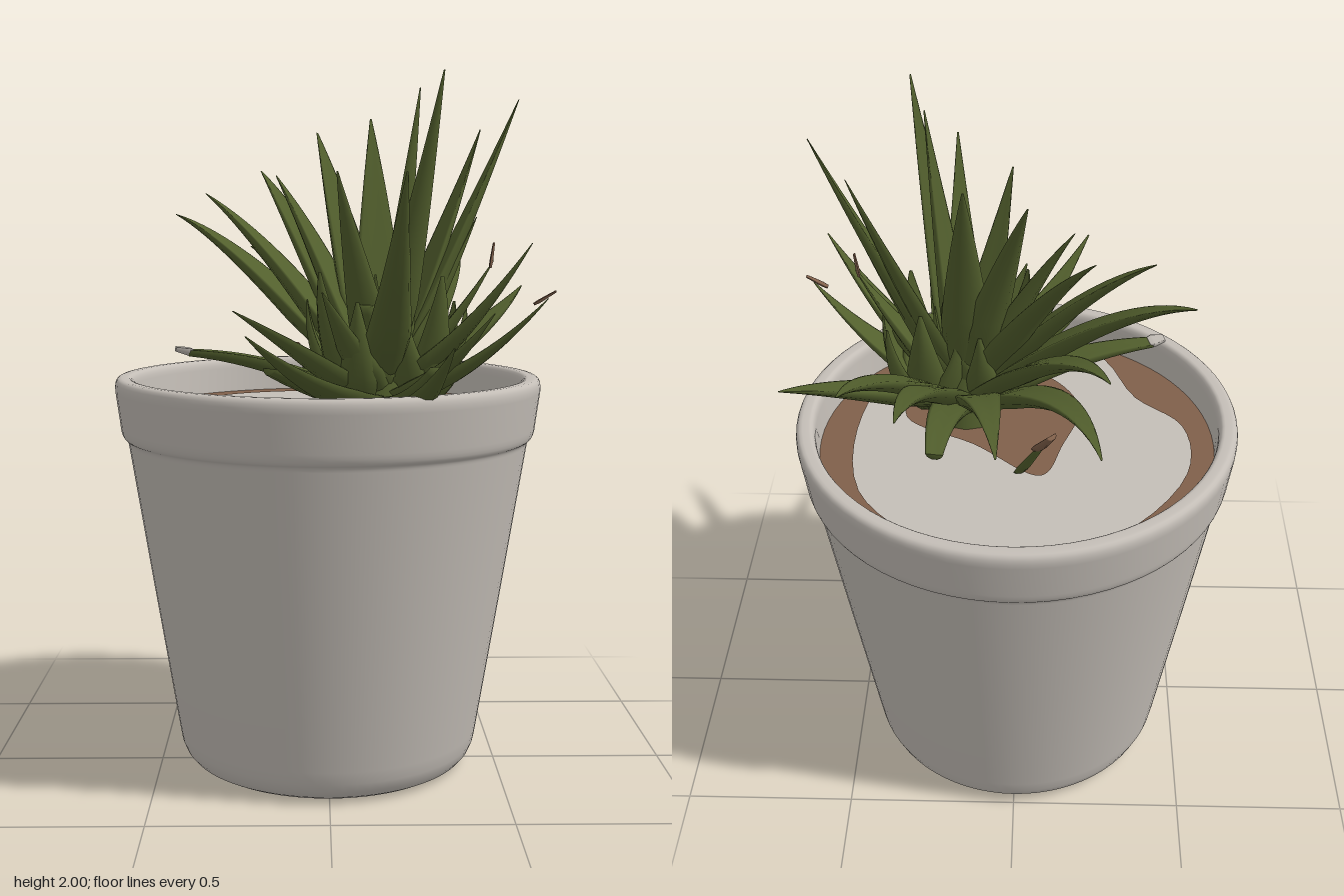
import * as THREE from 'three';

const mat = (name, color) => {
  const m = new THREE.MeshStandardMaterial({ color });
  m.name = name;
  return m;
};

// Closed leaf: crescent cross-sections swept along an arching curve.
// tipSize is the tip's width as a share of the full width.
function leafGeometry(a, mid, b, width, tipSize) {
  const curve = new THREE.QuadraticBezierCurve3(a, mid, b);
  const out = new THREE.Vector3(b.x - a.x, 0, b.z - a.z).normalize();
  const side = new THREE.Vector3(0, 1, 0).cross(out).normalize();
  const rings = 16, sides = 10, pos = [], idx = [];
  for (let i = 0; i <= rings; i++) {
    const t = i / rings, p = curve.getPoint(t);
    const normal = curve.getTangent(t).cross(side).normalize();
    const swell = t < 0.25 ? 0.8 + 0.8 * t : 1 - Math.pow((t - 0.25) / 0.75, 1.1) * (1 - tipSize);
    const w = width * 0.5 * swell;
    for (let j = 0; j < sides; j++) {
      const ang = (j / sides) * Math.PI * 2, c = Math.cos(ang), s = Math.sin(ang);
      // the upper face is shallow, the lower face is keeled
      const h = w * ((s > 0 ? 0.2 : 0.6) * s + 0.18 * c * c);
      const v = p.clone().addScaledVector(side, w * c).addScaledVector(normal, h);
      pos.push(v.x, v.y, v.z);
    }
  }
  for (let i = 0; i < rings; i++) for (let j = 0; j < sides; j++) {
    const k = (j + 1) % sides, p = i * sides, q = p + sides;
    idx.push(p + j, p + k, q + j, p + k, q + k, q + j);
  }
  for (let j = 1; j < sides - 1; j++) {
    const e = rings * sides;
    idx.push(e, e + j, e + j + 1, 0, j + 1, j);
  }
  const g = new THREE.BufferGeometry();
  g.setAttribute('position', new THREE.Float32BufferAttribute(pos, 3));
  g.setIndex(idx);
  g.computeVertexNormals();
  return g;
}

// Smooth closed outline through a few x, z points, for flat soil shapes
function outline(points) {
  const v = points.map(([x, z]) => new THREE.Vector3(x, -z, 0));
  return new THREE.CatmullRomCurve3(v, true).getPoints(60).slice(0, 60).map(p => new THREE.Vector2(p.x, p.y));
}

export function createModel() {
  const model = new THREE.Group();
  const ceramic = mat('ceramic grey', 0xc4beb7);
  const green = mat('leaf green', 0x525f2d);
  const brown = mat('soil brown', 0x80604a);
  green.side = THREE.DoubleSide;
  const add = (name, geo, m, parent = model) => {
    const mesh = new THREE.Mesh(geo, m);
    mesh.name = name;
    parent.add(mesh);
    return mesh;
  };
  const potZ = -0.065, soilY = 1.05, soilR = 0.567;

  // Pot: recessed base, rounded foot, tapered wall and thick rim
  const profile = new THREE.Path();
  profile.moveTo(0, 0.025);
  profile.lineTo(0.32, 0.025);
  profile.quadraticCurveTo(0.34, 0.025, 0.345, 0.005);
  profile.lineTo(0.365, 0);
  profile.quadraticCurveTo(0.44, 0, 0.45, 0.1);
  profile.lineTo(0.52, 0.535);
  profile.lineTo(0.588, 0.965);
  profile.quadraticCurveTo(0.59, 0.98, 0.598, 0.983);
  profile.quadraticCurveTo(0.609, 0.99, 0.612, 1.03);
  profile.lineTo(0.624, 1.12);
  profile.quadraticCurveTo(0.628, 1.16, 0.605, 1.16);
  profile.lineTo(0.588, 1.16);
  profile.quadraticCurveTo(0.572, 1.16, 0.57, 1.13);
  profile.lineTo(0.563, soilY - 0.02);
  add('pot', new THREE.LatheGeometry(profile.getPoints(5), 72), ceramic).position.z = potZ;

  // Pale surface inside the pot
  const disc = add('paleTopDressing', new THREE.CircleGeometry(soilR, 72).rotateX(-Math.PI / 2), ceramic);
  disc.position.set(0, soilY, potZ);

  // Soil showing around the edge, with an uneven inner border
  const edge = new THREE.Shape();
  edge.absarc(0, -potZ, soilR, 0, Math.PI * 2);
  edge.holes.push(new THREE.Path(outline([
    [-0.48, 0.03], [-0.48, -0.2], [-0.28, -0.47], [-0.05, -0.55], [0.12, -0.56], [0.25, -0.5], [0.43, -0.3],
    [0.46, 0.06], [0.36, 0.33], [0.1, 0.445], [-0.23, 0.41], [-0.35, 0.17],
  ])));
  const flat = s => new THREE.ShapeGeometry(s, 48).rotateX(-Math.PI / 2);
  add('soilEdge', flat(edge), brown).position.y = soilY + 0.005;

  // Soil showing around the plant's foot
  const patch = new THREE.Shape(outline([
    [-0.18, 0.13], [-0.04, 0.31], [0.24, 0.3], [0.33, 0.06], [0.12, -0.08], [-0.07, -0.22], [-0.13, -0.08],
  ]));
  add('soilPatch', flat(patch), brown).position.y = soilY + 0.006;

  // Rosette: each leaf starts near the crown, higher up when it stands taller
  const plant = new THREE.Group();
  plant.name = 'plant';
  model.add(plant);
  const crown = new THREE.Vector3(0.15, 0, 0.1);
  const growLeaf = (name, [x, y, z], width, tipSize) => {
    const tip = new THREE.Vector3(x, y, z);
    const base = crown.clone().lerp(tip, 0.11);
    base.y = 1.11 + 0.1 * THREE.MathUtils.clamp((y - 1.3) / 0.5, 0, 1);
    const mid = base.clone().lerp(tip, 0.5);
    // back and left leaves arch over and splay, front and right leaves curl up
    mid.y += 0.04 - 0.2 * z - 0.13 * x;
    mid.x += 0.5 * (x - 0.1) * Math.max(0, -z);
    add(name, leafGeometry(base, mid, tip, width, tipSize), green, plant);
  };

  const backFan = [
    [-0.22, 1.4, -0.6], [-0.24, 1.53, -0.46], [0.04, 1.39, -0.59],
    [0.29, 1.46, -0.54], [0.43, 1.52, -0.52], [0.61, 1.41, -0.34],
  ];
  const leftFan = [
    [-0.46, 1.63, -0.27], [-0.36, 1.69, -0.15], [-0.2, 1.76, -0.28], [-0.15, 1.74, -0.08],
    [-0.03, 1.87, -0.2], [0.13, 1.91, -0.2], [-0.26, 1.37, 0.31],
  ];
  const frontFan = [
    [-0.21, 1.33, 0.68], [0.3, 1.3, 0.68], [0.19, 1.73, 0.56], [-0.02, 1.42, 0.33], [0.02, 1.74, 0.31],
  ];
  const rightFan = [
    [0.54, 1.95, 0.02], [0.44, 1.87, -0.05], [0.3, 2, 0.33], [0.25, 1.97, 0.16], [0.55, 1.55, 0.26],
    [0.6, 1.4, 0.24], [0.45, 1.36, 0.27], [0.42, 1.62, 0.06], [0.46, 1.5, 0.14],
  ];
  backFan.forEach(tip => growLeaf('backLeaf', tip, 0.125, 0.04));
  leftFan.forEach(tip => growLeaf('leftLeaf', tip, 0.135, 0.04));
  frontFan.forEach(tip => growLeaf('frontLeaf', tip, 0.125, 0.04));
  rightFan.forEach(tip => growLeaf('rightLeaf', tip, 0.12, 0.04));

  // Blunt, trimmed leaves
  const trimmed = [[-0.39, 1.25, 0.175], [0.21, 1.24, -0.38], [-0.16, 1.22, 0.41], [0.29, 1.22, 0.36], [0.1, 1.38, 0.24]];
  trimmed.forEach(tip => growLeaf('trimmedLeaf', tip, 0.12, 0.4));

  // Two rings of short, fleshy leaves filling the heart of the plant
  const innerRing = (cx, cz, count, reach, height) => {
    for (let i = 0; i < count; i++) {
      const a = (i / count) * Math.PI * 2 + cx, dx = Math.cos(a), dz = Math.sin(a);
      const at = (r, y) => new THREE.Vector3(cx + dx * r, y, cz + dz * r);
      const lift = height + 0.08 * (i % 2);
      add('innerLeaf', leafGeometry(at(0.02, 1.1), at(reach * 0.95, lift - 0.16), at(reach, lift), 0.12, 0.08), green, plant);
    }
  };
  innerRing(0.09, 0.11, 8, 0.15, 1.39);
  innerRing(0.26, 0.09, 7, 0.13, 1.38);

  // Short stem holding the rosette together
  const stem = add('stem', new THREE.CylinderGeometry(0.07, 0.1, 0.18, 12), green, plant);
  stem.position.set(0.15, 1.13, 0.09);

  // Straight leaf ends: tip, offset from root to tip, width
  const leafEnd = (name, material, x, y, z, dx, dy, dz, width) => {
    const tip = new THREE.Vector3(x, y, z);
    const root = tip.clone().sub(new THREE.Vector3(dx, dy, dz));
    add(name, leafGeometry(root, root.clone().lerp(tip, 0.5), tip, width, 0.6), material, plant);
  };
  leafEnd('paleLeafTip', ceramic, -0.425, 1.26, 0.183, -0.045, 0.008, 0.01, 0.055);
  leafEnd('witheredTip', brown, 0.62, 1.42, 0.24, 0.06, 0.035, 0, 0.022);
  leafEnd('witheredTip', brown, 0.46, 1.55, 0.14, 0.01, 0.07, 0, 0.022);
  leafEnd('witheredStub', green, -0.07, 1.18, -0.25, -0.06, 0.13, -0.06, 0.05);
  leafEnd('witheredTip', brown, -0.1, 1.235, -0.28, -0.04, 0.065, -0.04, 0.055);

  return model;
}
